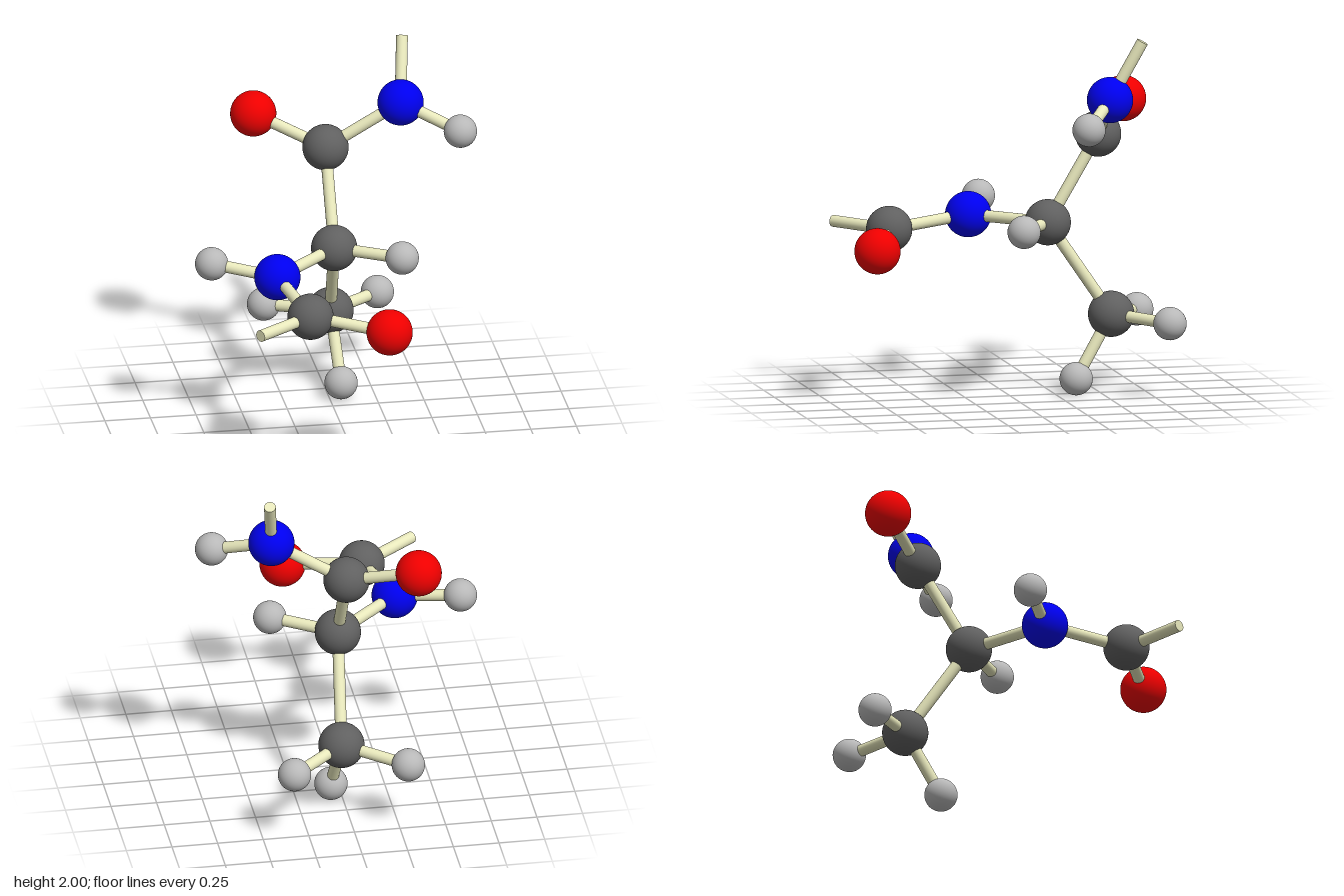
import * as THREE from 'three';

const BOND_RADIUS = 0.032;

// Atom kinds: radius and colour
const KINDS = {
  carbon: { radius: 0.125, color: 0x606060 },
  nitrogen: { radius: 0.125, color: 0x0000ee },
  oxygen: { radius: 0.125, color: 0xee0000 },
  hydrogen: { radius: 0.09, color: 0xb8b8b8 },
};

// Atom name: kind and centre
const ATOMS = {
  centralCarbon: ['carbon', 0, 0.945, -0.21],
  upperCarbon: ['carbon', 0, 1.42, -0.49],
  upperOxygen: ['oxygen', -0.358, 1.55, -0.715],
  upperNitrogen: ['nitrogen', 0.406, 1.667, -0.458],
  upperHydrogen: ['hydrogen', 0.702, 1.555, -0.27],
  lowerNitrogen: ['nitrogen', -0.371, 0.945, 0.143],
  lowerNitrogenHydrogen: ['hydrogen', -0.708, 0.99, 0.005],
  frontCarbon: ['carbon', -0.268, 0.897, 0.607],
  frontOxygen: ['oxygen', 0.138, 0.844, 0.77],
  centralHydrogen: ['hydrogen', 0.337, 0.95, 0.003],
  bottomCarbon: ['carbon', 0.038, 0.437, -0.553],
  bottomHydrogenRight: ['hydrogen', -0.291, 0.405, -0.775],
  bottomHydrogenLeft: ['hydrogen', 0.338, 0.42, -0.808],
  bottomHydrogenDown: ['hydrogen', 0.062, 0.093, -0.353],
};

const BONDS = [
  ['centralCarbon', 'upperCarbon'],
  ['upperCarbon', 'upperOxygen'],
  ['upperCarbon', 'upperNitrogen'],
  ['upperNitrogen', 'upperHydrogen'],
  ['centralCarbon', 'lowerNitrogen'],
  ['lowerNitrogen', 'lowerNitrogenHydrogen'],
  ['lowerNitrogen', 'frontCarbon'],
  ['frontCarbon', 'frontOxygen'],
  ['centralCarbon', 'centralHydrogen'],
  ['centralCarbon', 'bottomCarbon'],
  ['bottomCarbon', 'bottomHydrogenRight'],
  ['bottomCarbon', 'bottomHydrogenLeft'],
  ['bottomCarbon', 'bottomHydrogenDown'],
];

// Open bonds that end in the air
const OPEN_BONDS = [
  ['upperNitrogen', [0.443, 1.986, -0.63]],
  ['frontCarbon', [-0.582, 0.902, 0.843]],
];

export function createModel() {
  const model = new THREE.Group();
  model.name = 'molecule';
  const bondMaterial = new THREE.MeshStandardMaterial({ color: 0xe8e8bc });
  const centre = (name) => new THREE.Vector3(...ATOMS[name].slice(1));

  // Atoms, sharing one sphere and one material per kind
  for (const [kind, { radius, color }] of Object.entries(KINDS)) {
    const geometry = new THREE.SphereGeometry(radius, 48, 32);
    const material = new THREE.MeshStandardMaterial({ color });
    for (const name of Object.keys(ATOMS)) {
      if (ATOMS[name][0] !== kind) continue;
      const atom = new THREE.Mesh(geometry, material);
      atom.name = name;
      atom.position.copy(centre(name));
      model.add(atom);
    }
  }

  // A capped round stick between two points
  function addBond(name, from, to) {
    const direction = to.clone().sub(from);
    const length = direction.length();
    const bond = new THREE.Mesh(
      new THREE.CylinderGeometry(BOND_RADIUS, BOND_RADIUS, length, 24),
      bondMaterial,
    );
    bond.name = name;
    bond.position.copy(from).add(to).multiplyScalar(0.5);
    bond.quaternion.setFromUnitVectors(new THREE.Vector3(0, 1, 0), direction.normalize());
    model.add(bond);
  }

  for (const [a, b] of BONDS) addBond(`${a} to ${b} bond`, centre(a), centre(b));
  for (const [a, end] of OPEN_BONDS) addBond(`${a} openBond`, centre(a), new THREE.Vector3(...end));

  return model;
}
